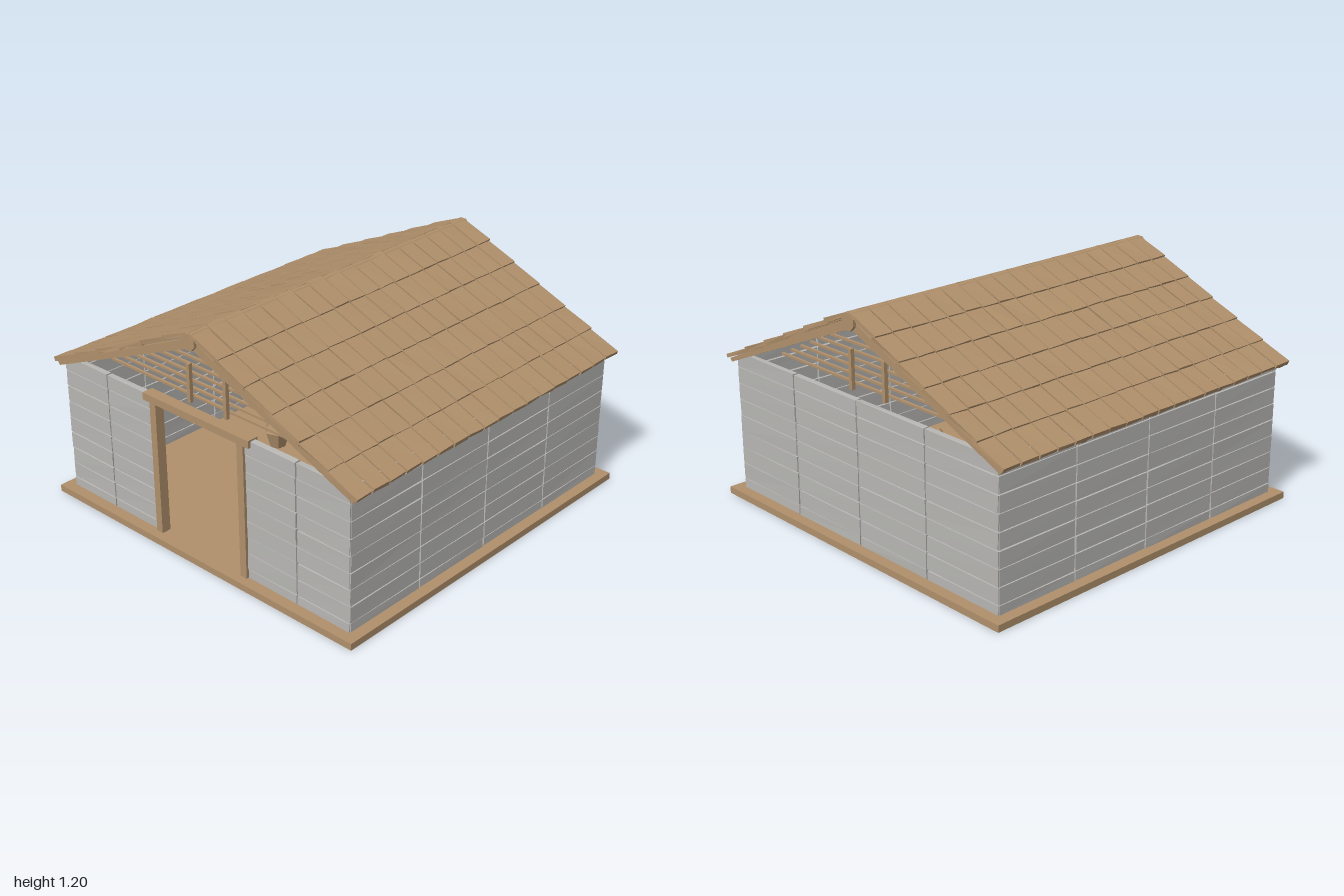
import * as THREE from 'three';

export function createModel() {
  const model = new THREE.Group();
  const wood = new THREE.MeshStandardMaterial({ color: 0xb0906b, flatShading: true });
  wood.name = 'wood';
  const stone = new THREE.MeshStandardMaterial({ color: 0xb8b7b4, flatShading: true });
  stone.name = 'weathered grey';

  // small seeded jitter in -1..1
  let seed = 7;
  const rnd = () => {
    seed = (seed * 16807) % 2147483647;
    return (seed / 2147483647) * 2 - 1;
  };

  const add = (parent, name, geo, mat, x = 0, y = 0, z = 0) => {
    const m = new THREE.Mesh(geo, mat);
    m.name = name;
    m.position.set(x, y, z);
    parent.add(m);
    return m;
  };
  const box = (parent, name, w, h, d, mat, x, y, z) =>
    add(parent, name, new THREE.BoxGeometry(w, h, d), mat, x, y, z);
  const group = (name, parent = model) => {
    const g = new THREE.Group();
    g.name = name;
    parent.add(g);
    return g;
  };

  // box whose corners are nudged a little, like a rough-hewn board
  function roughBox(w, h, d, jx, jy, jz) {
    const g = new THREE.BoxGeometry(w, h, d);
    const p = g.attributes.position;
    const nudges = {};
    for (let i = 0; i < p.count; i++) {
      const key = [p.getX(i), p.getY(i), p.getZ(i)].map(Math.sign).join();
      nudges[key] ??= [rnd() * jx, rnd() * jy, rnd() * jz];
      const n = nudges[key];
      p.setXYZ(i, p.getX(i) + n[0], p.getY(i) + n[1], p.getZ(i) + n[2]);
    }
    g.computeVertexNormals();
    return g;
  }

  // floor slab
  box(model, 'floor', 2, 0.035, 2, wood, 0, 0.0175, 0);

  // walls: panels of stacked planks, u runs along the wall
  const rows = [0.035];
  for (let k = 0; k < 8; k++) rows.push(0.085 + k * 0.0865);
  rows.push(0.77);
  const thick = 0.03;
  function wall(name, edges, angle) {
    const g = group(name);
    g.rotation.y = angle;
    for (let e = 0; e < edges.length; e++) {
      const [a, b] = edges[e];
      for (let r = 0; r + 1 < rows.length; r++) {
        const h = rows[r + 1] - rows[r];
        add(g, 'plank', roughBox(b - a - 0.008, h - 0.005, thick, 0.002, 0.002, 0.001), stone,
          (a + b) / 2, rows[r] + h / 2, 0.945 - thick / 2);
      }
    }
  }
  const quarters = [[-0.945, -0.475], [-0.475, 0], [0, 0.475], [0.475, 0.945]];
  wall('backWall', quarters, Math.PI);
  wall('leftWall', quarters, Math.PI / 2);
  wall('rightWall', quarters, -Math.PI / 2);
  wall('frontWall', [[-0.945, -0.625], [-0.625, -0.31], [0.31, 0.625], [0.625, 0.945]], 0);

  // door frame
  const door = group('doorFrame');
  for (const s of [-1, 1]) {
    box(door, 'jamb', 0.04, 0.705, 0.05, wood, s * 0.29, 0.3875, 0.93);
  }
  box(door, 'header', 0.7, 0.038, 0.06, wood, 0, 0.757, 0.93);

  // gable slats and posts at both ends
  for (const s of [-1, 1]) {
    const g = group(s > 0 ? 'frontGable' : 'backGable');
    for (let i = 0; i < 6; i++) {
      box(g, 'slat', 2 * (0.69 - i * 0.079), 0.011, 0.014, wood, 0, 0.8 + i * 0.039, s * 0.85);
    }
    for (const x of [-0.12, 0.12]) {
      box(g, 'gablePost', 0.02, 0.2, 0.02, wood, x, 0.87, s * 0.868);
    }
  }

  // roof: ridge beam, rafters and shingles
  const roof = group('roof');
  const ridge = add(roof, 'ridgeBeam', new THREE.CylinderGeometry(0.045, 0.045, 1.95, 8), wood, 0, 1.15, 0);
  ridge.rotation.set(Math.PI / 2, Math.PI / 8, 0);

  const rafter = new THREE.Shape([
    [0, 1.115], [0.97, 0.712], [0.985, 0.728], [0, 1.165],
  ].map(([x, y]) => new THREE.Vector2(x, y)));
  const rafterGeo = new THREE.ExtrudeGeometry(rafter, { depth: 0.035, bevelEnabled: false });
  const cols = 18, courses = 6, pitch = 1.945 / cols;
  for (const s of [-1, 1]) {
    const side = group(s > 0 ? 'leftSlope' : 'rightSlope', roof);
    if (s < 0) side.rotation.y = Math.PI;
    for (const z of [-0.96, -0.48, -0.0175, 0.445, 0.925]) {
      add(side, 'rafter', rafterGeo, wood, 0, 0, z);
    }
    for (let c = 0; c < cols; c++) {
      for (let r = 0; r < courses; r++) {
        const x = 0.088 + r * 0.1635;
        const tile = add(side, 'shingle', roughBox(0.198, 0.021, pitch - 0.009, 0.003, 0.002, 0.002), wood,
          x, 1.19 - 0.458 * x, -0.9725 + (c + 0.5) * pitch);
        tile.rotation.z = -0.385;
      }
    }
  }

  // furnishings: crates along the back and faceted sacks on the floor
  for (const x of [-0.335, 0, 0.335]) {
    box(model, 'crate', 0.23, 0.155, 0.2, wood, x, 0.1125, -0.78);
  }
  const sackProfile = [[0, -0.11], [0.045, -0.1], [0.072, -0.01], [0.05, 0.045], [0, 0.11]]
    .map(([x, y]) => new THREE.Vector2(x, y));
  const sackGeo = new THREE.LatheGeometry(sackProfile, 6);
  for (const [x, z] of [[0, -0.47], [-0.47, -0.04], [0.47, -0.04]]) {
    add(model, 'sack', sackGeo, wood, x, 0.143, z).rotation.y = x + 0.3;
  }
  return model;
}
